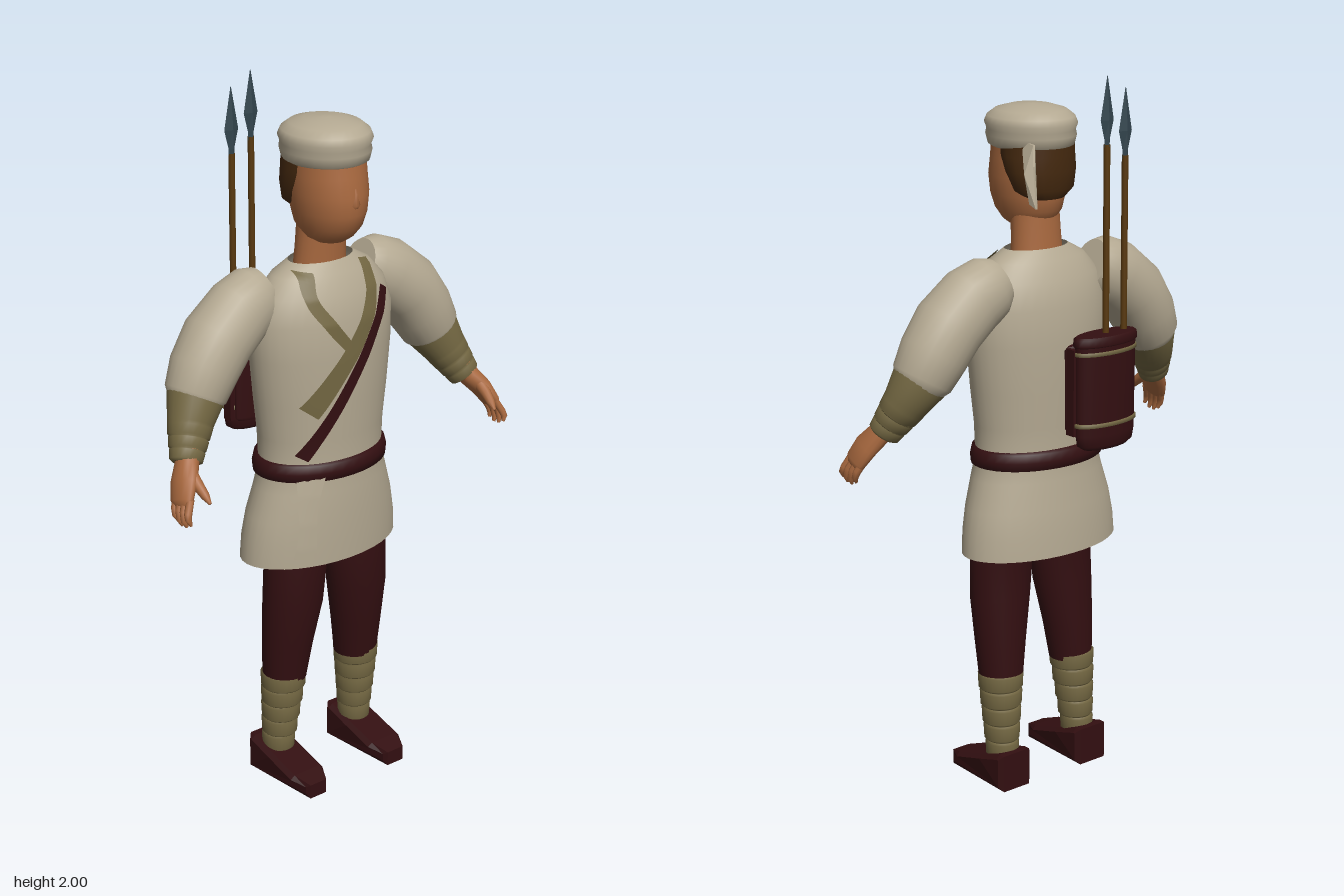
import * as THREE from 'three';

const mat = (name, color, side = THREE.FrontSide) => {
  const m = new THREE.MeshStandardMaterial({ color, side });
  m.name = name;
  return m;
};

// Lofts ellipses along rows of [x, y, z, radius in the xy plane, radius towards z].
function loft(rows, { seg = 24, upright = false, caps = true, flat = false } = {}) {
  const pos = [], idx = [], rings = [];
  const c = rows.map(r => new THREE.Vector3(r[0], r[1], r[2]));
  rows.forEach((r, i) => {
    const T = upright ? new THREE.Vector3(0, 1, 0)
      : c[Math.min(i + 1, c.length - 1)].clone().sub(c[Math.max(i - 1, 0)]).normalize();
    const B = new THREE.Vector3(0, 0, 1).addScaledVector(T, -T.z).normalize();
    const N = T.clone().cross(B);
    const ring = [];
    for (let j = 0; j < seg; j++) {
      const a = j / seg * Math.PI * 2;
      ring.push(c[i].clone().addScaledVector(N, r[3] * Math.cos(a)).addScaledVector(B, r[4] * Math.sin(a)));
    }
    rings.push(ring);
    ring.forEach(p => pos.push(p.x, p.y, p.z));
  });
  for (let i = 0; i + 1 < rows.length; i++) for (let j = 0; j < seg; j++) {
    const a = i * seg + j, b = i * seg + (j + 1) % seg;
    idx.push(a, a + seg, b, b, a + seg, b + seg);
  }
  if (caps) [0, rows.length - 1].forEach((k, end) => {
    const base = pos.length / 3;
    [c[k], ...rings[k]].forEach(p => pos.push(p.x, p.y, p.z));
    for (let j = 0; j < seg; j++) {
      const p = base + 1 + j, q = base + 1 + (j + 1) % seg;
      idx.push(base, end ? q : p, end ? p : q);
    }
  });
  let g = new THREE.BufferGeometry();
  g.setAttribute('position', new THREE.Float32BufferAttribute(pos, 3));
  g.setIndex(idx);
  if (flat) g = g.toNonIndexed();
  g.computeVertexNormals();
  return g;
}

// Tunic profile: y, centre z, half width, half depth
const TUNIC = [
  [.69, .03, .25, .147], [.75, .032, .246, .146], [.82, .035, .232, .143], [.9, .04, .207, .136],
  [.96, .04, .19, .131], [1.05, .04, .194, .132], [1.15, .04, .206, .137], [1.28, .04, .22, .138],
  [1.38, .04, .223, .133], [1.45, .04, .2, .113], [1.5, .04, .155, .085], [1.53, .04, .1, .062]];

function tunicFront(x, y) {
  let i = 0;
  while (i < TUNIC.length - 2 && TUNIC[i + 1][0] < y) i++;
  const a = TUNIC[i], b = TUNIC[i + 1];
  const t = THREE.MathUtils.clamp((y - a[0]) / (b[0] - a[0]), 0, 1);
  const [cz, w, d] = [1, 2, 3].map(k => a[k] + (b[k] - a[k]) * t);
  return cz + d * Math.sqrt(Math.max(0, 1 - (x / w) ** 2));
}

// A strip of cloth laid over the front of the tunic; points are [x, y, width]
function strip(points, offset = .008) {
  const curve = new THREE.CatmullRomCurve3(points.map(p => new THREE.Vector3(...p)), false, 'centripetal');
  const n = 28, m = 4, pos = [], idx = [];
  for (let i = 0; i <= n; i++) {
    const p = curve.getPoint(i / n), d = curve.getTangent(i / n);
    const l = Math.hypot(d.x, d.y);
    for (let j = 0; j <= m; j++) {
      const s = (j / m - .5) * p.z;
      const x = p.x + d.y / l * s, y = p.y - d.x / l * s;
      pos.push(x, y, tunicFront(x, y) + offset);
      if (i < n && j < m) {
        const a = i * (m + 1) + j, c = a + m + 1;
        idx.push(a, a + 1, c, a + 1, c + 1, c);
      }
    }
  }
  const g = new THREE.BufferGeometry();
  g.setAttribute('position', new THREE.Float32BufferAttribute(pos, 3));
  g.setIndex(idx);
  g.computeVertexNormals();
  return g;
}

// Extrudes an outline drawn as [z, y] along x, centred on x
function sideExtrude(outline, depth, bevel = 0) {
  const g = new THREE.ExtrudeGeometry(new THREE.Shape(outline.map(p => new THREE.Vector2(...p))), {
    depth: depth - 2 * bevel, bevelEnabled: bevel > 0, bevelSize: bevel, bevelThickness: bevel,
    bevelOffset: -bevel, bevelSegments: 1 });
  return g.translate(0, 0, bevel - depth / 2).rotateY(-Math.PI / 2);
}

function bend(g, rule) {
  const p = g.attributes.position, v = new THREE.Vector3();
  for (let i = 0; i < p.count; i++) {
    rule(v.fromBufferAttribute(p, i));
    p.setXYZ(i, v.x, v.y, v.z);
  }
  g.computeVertexNormals();
  return g;
}

export function createModel() {
  const group = new THREE.Group();
  const cloth = mat('cream cloth', 0xb4a992, THREE.DoubleSide);
  const skin = mat('skin', 0xa9693f);
  const maroon = mat('dark maroon', 0x330f11, THREE.DoubleSide);
  const olive = mat('olive wrap', 0x736742, THREE.DoubleSide);
  const hairMat = mat('brown hair', 0x45290f);
  const wood = mat('wood', 0x59390f);
  const steel = mat('steel', 0x34464f);
  const add = (name, geo, m) => {
    const mesh = new THREE.Mesh(geo, m);
    mesh.name = name;
    group.add(mesh);
    return mesh;
  };
  const up = (rows, opt) => loft(rows.map(([y, z, a, b]) => [0, y, z, a, b]), { upright: true, ...opt });

  // Tunic, belt and the strips across the chest
  add('tunic', up(TUNIC, { seg: 36, caps: false }), cloth);
  add('belt', up([[.935, .038, .19, .13], [.94, .038, .204, .145], [.962, .038, .206, .147],
    [.985, .038, .2, .144], [.99, .038, .185, .128]], { seg: 36 }), maroon);
  add('collarLeft', strip([[.1, 1.515, .04], [.08, 1.43, .045], [.02, 1.33, .05], [-.06, 1.23, .055], [-.13, 1.14, .06]]), olive);
  add('collarRight', strip([[-.1, 1.515, .04], [-.11, 1.45, .035], [-.07, 1.38, .035], [-.015, 1.31, .03]], .007), olive);
  add('chestStrap', strip([[.135, 1.44, .034], [.05, 1.31, .034], [-.05, 1.16, .034], [-.145, 1.01, .034]], .014), maroon);
  add('sashEnd', strip([[-.12, .96, .07], [-.135, .88, .05], [-.14, .8, .045], [-.148, .72, .06]], .012), cloth);

  // Neck and head
  add('neck', up([[1.48, .035, .08, .06], [1.56, .04, .074, .058], [1.64, .045, .07, .06]]), skin);
  add('head', up([[1.585, .075, .045, .05], [1.6, .07, .066, .078], [1.63, .072, .082, .102], [1.67, .074, .093, .113],
    [1.72, .074, .1, .115], [1.77, .07, .1, .109], [1.83, .065, .1, .105]], { seg: 28 }), skin);
  add('nose', up([[1.685, .17, .012, .014], [1.7, .175, .016, .02], [1.73, .172, .01, .018], [1.77, .165, .006, .01]], { seg: 10 }), skin);
  add('hair', up([[1.665, .005, .06, .045], [1.69, .008, .092, .063], [1.74, .022, .105, .083],
    [1.78, .034, .107, .095], [1.83, .04, .106, .1]]), hairMat);

  // Cap with its rolled band and hanging ribbon
  add('cap', up([[1.798, .06, .1, .11], [1.805, .06, .111, .124], [1.83, .06, .117, .13], [1.845, .06, .114, .127],
    [1.862, .06, .12, .134], [1.88, .06, .113, .126], [1.897, .06, .092, .102], [1.908, .06, .055, .06],
    [1.912, .06, .008, .008]], { seg: 32 }), cloth);
  add('capRibbon', bend(sideExtrude([[0, 1.825], [-.05, 1.82], [-.078, 1.77], [-.095, 1.66], [-.068, 1.67], [-.048, 1.745]], .006),
    v => { v.x += .113 - Math.max(0, v.y - 1.76) * .5; }), cloth);

  for (const s of [1, -1]) {
    const side = s > 0 ? 'Left' : 'Right';
    const limb = (name, rows, m, opt) =>
      add(name + side, loft(rows.map(([x, ...r]) => [s * x, ...r]), opt), m);

    // Arm: puffed sleeve, wrapped bracer
    limb('sleeve', [[.165, 1.46, .005, .07, .06], [.195, 1.447, .005, .09, .078], [.25, 1.42, .01, .098, .088],
      [.325, 1.36, .014, .098, .097], [.375, 1.29, .018, .094, .093], [.408, 1.23, .025, .085, .083],
      [.418, 1.212, .028, .07, .07]], cloth);
    const bracer = [[.395, 1.25, .025, .075, .07], [.413, 1.222, .03, .078, .075], [.445, 1.165, .05, .063, .06]];
    for (let i = 0; i < 3; i++) {
      const x = .45 + i * .014, y = 1.155 - i * .026, z = .055 + i * .012, r = .062 - i * .006;
      bracer.push([x, y, z, r, r - .004], [x + .011, y - .02, z + .009, r - .004, r - .008],
        [x + .013, y - .024, z + .011, r - .012, r - .016]);
    }
    limb('bracer', bracer, olive);

    // Hand with four fingers and a thumb
    limb('palm', [[.475, 1.115, .083, .034, .032], [.495, 1.08, .1, .03, .034], [.522, 1.045, .123, .026, .043],
      [.543, 1.005, .142, .018, .04], [.548, .992, .147, .008, .028]], skin, { seg: 16 });
    for (let i = 0; i < 4; i++) {
      const d = (i - 1.5) * .019, drop = [.008, 0, .002, .012][i];
      limb('finger' + (i + 1), [[.535, 1.015, .138 + d, .011, .011], [.553, .98, .152 + d, .0105, .0105],
        [.556, .955 + drop, .158 + d, .009, .009], [.55, .94 + drop, .161 + d, .004, .004]], skin, { seg: 8 });
    }
    limb('thumb', [[.505, 1.065, .13, .018, .018], [.505, 1.042, .163, .015, .015], [.502, 1.022, .187, .012, .012],
      [.5, 1.005, .206, .004, .004]], skin, { seg: 10 });

    // Leg: trousers, shin wraps, shoe
    limb('trouser', [[.1, .86, .05, .09, .085], [.105, .69, .065, .095, .08], [.115, .55, .062, .089, .078],
      [.125, .42, .05, .074, .069], [.13, .31, .042, .063, .06]], maroon, { upright: true });
    const wraps = [];
    for (let i = 0; i < 5; i++) {
      const y = .08 + i * .05, t = i / 5;
      const row = (h, grow) => [.14 - .009 * t, h, .026 + .018 * t, .043 + .023 * t + grow, .045 + .018 * t + grow];
      wraps.push(row(y, -.004), row(y + .006, .002), row(y + .044, .004), row(y + .049, -.003));
    }
    limb('shinWrap', wraps, olive, { upright: true });
    const shoe = sideExtrude([[-.04, 0], [.21, 0], [.21, .042], [.16, .058], [.06, .085], [-.02, .108], [-.04, .108]], .115, .012);
    bend(shoe, v => { v.x = v.x * (v.z > .18 ? .62 : 1) + s * .143; });
    add('shoe' + side, shoe, maroon);
  }

  // Quiver on the back, with its backing, rim and bands
  const qx = -.067, qz = -.167;
  const quiver = (name, rows, m) =>
    add(name, loft(rows.map(([y, a, b, z = qz]) => [qx, y, z, a, b]), { seg: 28, upright: true }), m);
  quiver('quiver', [[.998, .075, .03], [1.01, .094, .039], [1.04, .1, .042], [1.29, .103, .043]], maroon);
  quiver('quiverRim', [[1.285, .102, .042], [1.29, .108, .047], [1.308, .107, .046], [1.313, .1, .04]], maroon);
  quiver('quiverBacking', [[1.04, .09, .018, -.12], [1.05, .1, .021, -.12], [1.27, .102, .021, -.12], [1.28, .09, .018, -.12]], maroon);
  for (const y of [1.07, 1.268])
    quiver('quiverBand', [[y - .006, .1, .041], [y - .005, .106, .046], [y + .005, .106, .046], [y + .006, .1, .041]], olive);
  for (const s of [1, -1]) {
    const trim = add('quiverTrim', new THREE.BoxGeometry(.012, .24, .03), maroon);
    trim.position.set(qx + s * .102, 1.16, qz + .02);
  }

  // Two spears
  for (const [x, tip] of [[-.135, 1.965], [-.07, 2]]) {
    const shaft = add('spearShaft', new THREE.CylinderGeometry(.009, .009, tip - 1.18, 10), wood);
    shaft.position.set(x, (tip + .82) / 2, -.165);
    add('spearHead', loft([[-.19, .009, .009], [-.165, .01, .01], [-.115, .023, .009], [0, .001, .001]]
      .map(([d, a, b]) => [x, tip + d, -.165, a, b]), { seg: 4, upright: true, flat: true }), steel);
  }
  return group;
}
